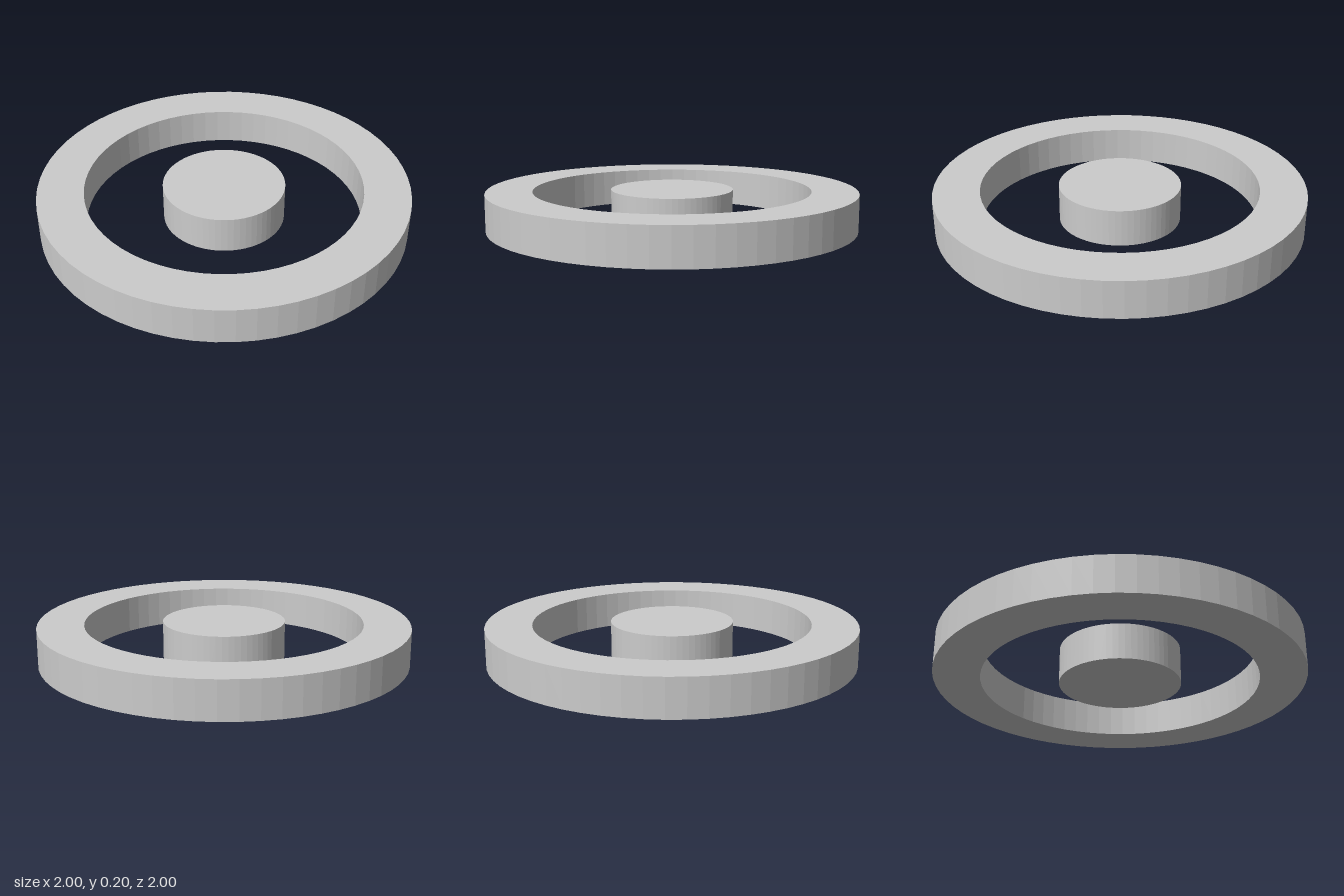
import * as THREE from 'three';

const HEIGHT = 0.2;
const SEGMENTS = 64;

export function createModel() {
  const group = new THREE.Group();
  const material = new THREE.MeshStandardMaterial({ color: 0xcccccc, flatShading: true });

  // Outer ring: closed rectangular section turned about the y axis
  const section = [[1, 0], [1, HEIGHT], [0.75, HEIGHT], [0.75, 0], [1, 0]]
    .map(([r, y]) => new THREE.Vector2(r, y));
  const ring = new THREE.Mesh(new THREE.LatheGeometry(section, SEGMENTS), material);
  ring.name = 'outerRing';
  group.add(ring);

  // Separate solid disc in the middle, same height as the ring
  const disc = new THREE.Mesh(new THREE.CylinderGeometry(0.33, 0.33, HEIGHT, SEGMENTS), material);
  disc.name = 'centreDisc';
  disc.position.y = HEIGHT / 2;
  group.add(disc);

  return group;
}
